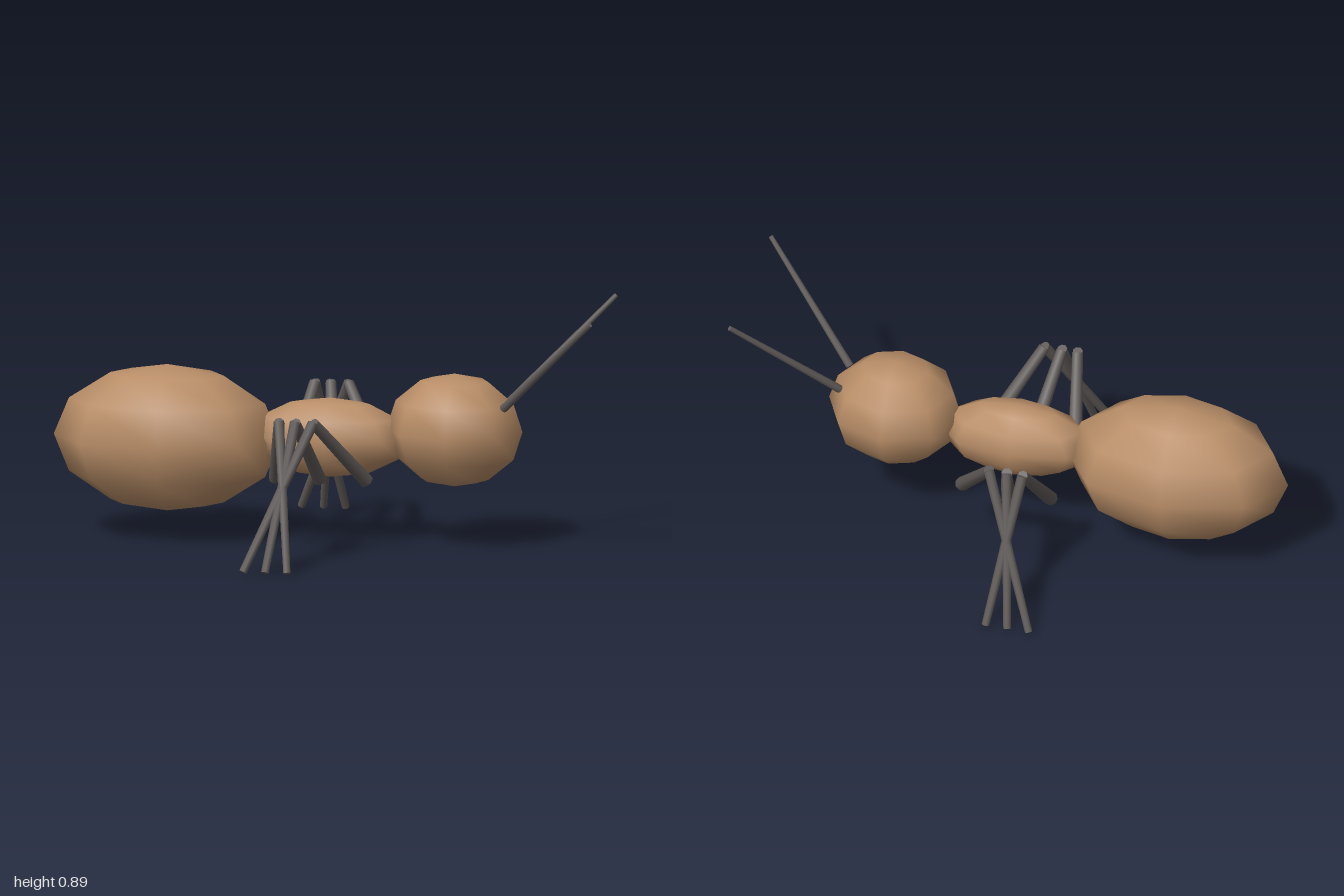
import * as THREE from 'three';

export function createModel() {
  const model = new THREE.Group();
  const brown = new THREE.MeshStandardMaterial({ color: 0xb88d67 });
  brown.name = 'brown body';
  const grey = new THREE.MeshStandardMaterial({ color: 0x5f5a58 });
  grey.name = 'dark grey limbs';

  // Low-poly smooth ellipsoid
  function ellipsoid(name, x, y, rx, ry, rz) {
    const mesh = new THREE.Mesh(new THREE.SphereGeometry(1, 8, 6), brown);
    mesh.name = name;
    mesh.position.set(x, y, 0);
    mesh.scale.set(rx, ry, rz);
    model.add(mesh);
  }

  // Tapered rod between two points
  const up = new THREE.Vector3(0, 1, 0);
  function rod(name, from, to, rFrom, rTo, parent) {
    const a = new THREE.Vector3(...from);
    const b = new THREE.Vector3(...to);
    const dir = b.clone().sub(a);
    const mesh = new THREE.Mesh(new THREE.CylinderGeometry(rTo, rFrom, dir.length(), 8), grey);
    mesh.name = name;
    mesh.position.copy(a).add(b).multiplyScalar(0.5);
    mesh.quaternion.setFromUnitVectors(up, dir.normalize());
    parent.add(mesh);
  }

  // Body segments
  ellipsoid('abdomen', -0.59, 0.365, 0.41, 0.266, 0.246);
  ellipsoid('thorax', 0, 0.385, 0.287, 0.144, 0.123);
  ellipsoid('head', 0.45, 0.426, 0.246, 0.205, 0.205);

  // Hip, knee and foot x of each leg
  const legs = [
    ['frontLeg', 0.16, 0.003, -0.21],
    ['middleLeg', -0.01, -0.062, -0.13],
    ['rearLeg', -0.168, -0.12, -0.05],
  ];

  for (const side of [1, -1]) {
    const suffix = side > 0 ? 'Near' : 'Far';
    for (const [name, hip, knee, foot] of legs) {
      const leg = new THREE.Group();
      leg.name = name + suffix;
      rod('upperLeg', [hip, 0.262, 0.165 * side], [knee, 0.508, 0.375 * side], 0.026, 0.02, leg);
      rod('lowerLeg', [knee, 0.51, 0.378 * side], [foot, 0.008, 0.622 * side], 0.019, 0.014, leg);
      model.add(leg);
    }
    rod('antenna' + suffix, [0.638, 0.522, 0.07 * side], [0.988, 0.88, 0.28 * side], 0.015, 0.009, model);
  }
  return model;
}
